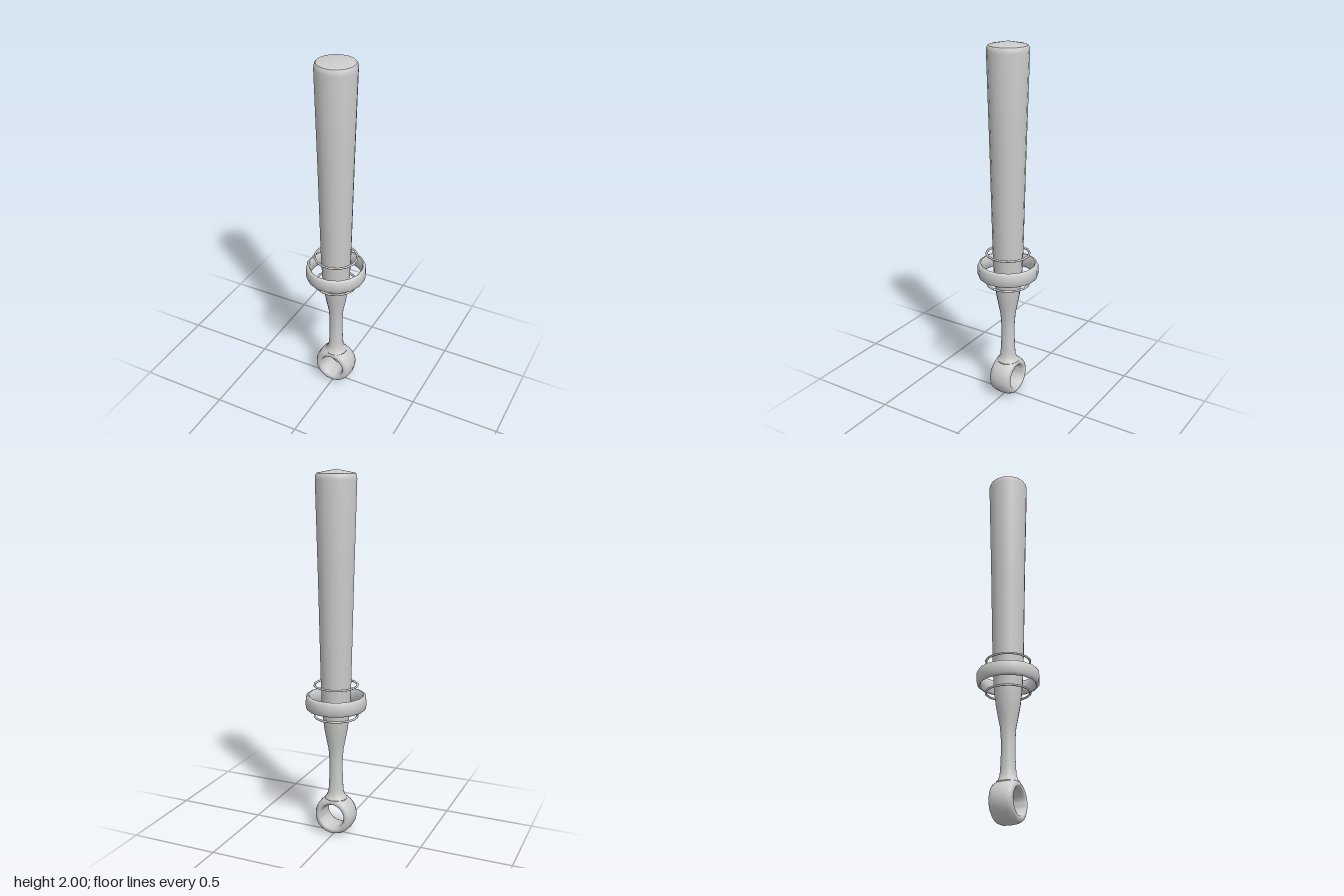
import * as THREE from 'three';
import { toCreasedNormals } from 'three/addons/utils/BufferGeometryUtils.js';

const SIDES = 16;
const material = new THREE.MeshStandardMaterial({ color: 0xcccccc });

// Revolve [radius, height] points; flats face the axes
function revolve(name, points, sides = SIDES, crease = 0.7) {
  const profile = points.map(([r, y]) => new THREE.Vector2(r, y));
  const lathe = new THREE.LatheGeometry(profile, sides, Math.PI / sides);
  const mesh = new THREE.Mesh(toCreasedNormals(lathe, crease), material);
  mesh.name = name;
  return mesh;
}

export function createModel() {
  const group = new THREE.Group();
  group.name = 'handle';

  // Tapered grip, narrowing to a neck that flares into the eye
  group.add(revolve('grip', [
    [0.062, 0.195], [0.063, 0.212], [0.050, 0.228], [0.043, 0.25], [0.040, 0.29],
    [0.037, 0.36], [0.037, 0.43], [0.042, 0.50], [0.054, 0.56], [0.065, 0.62],
    [0.072, 0.68], [0.077, 0.74], [0.083, 0.87], [0.095, 1.42], [0.109, 1.95],
    [0.107, 1.97], [0.100, 1.98], [0, 2.0],
  ]));

  // Eye at the foot, with its hole running front to back
  const eye = revolve('eye', [
    [0.068, -0.052], [0.074, -0.063], [0.086, -0.065], [0.100, -0.057], [0.109, -0.036],
    [0.112, 0], [0.109, 0.036], [0.100, 0.057], [0.086, 0.065], [0.074, 0.063],
    [0.068, 0.052], [0.065, 0], [0.068, -0.052],
  ], 24, 1.0);
  eye.rotation.x = Math.PI / 2;
  eye.position.y = 0.115;
  group.add(eye);

  // Loose collar with rounded edges
  const collar = revolve('collar', [
    [0.144, -0.032], [0.150, -0.040], [0.159, -0.038], [0.165, -0.028], [0.167, 0],
    [0.165, 0.028], [0.159, 0.038], [0.150, 0.040], [0.144, 0.032], [0.143, 0],
    [0.144, -0.032],
  ], SIDES, 1.0);
  collar.position.y = 0.77;
  group.add(collar);

  // Thin wire rings above and below the collar
  for (const [name, y] of [['upperRing', 0.865], ['lowerRing', 0.69]]) {
    const ring = new THREE.Mesh(new THREE.TorusGeometry(0.117, 0.006, 8, SIDES), material);
    ring.name = name;
    ring.rotation.set(Math.PI / 2, 0, Math.PI / SIDES);
    ring.position.y = y;
    group.add(ring);
  }

  return group;
}
